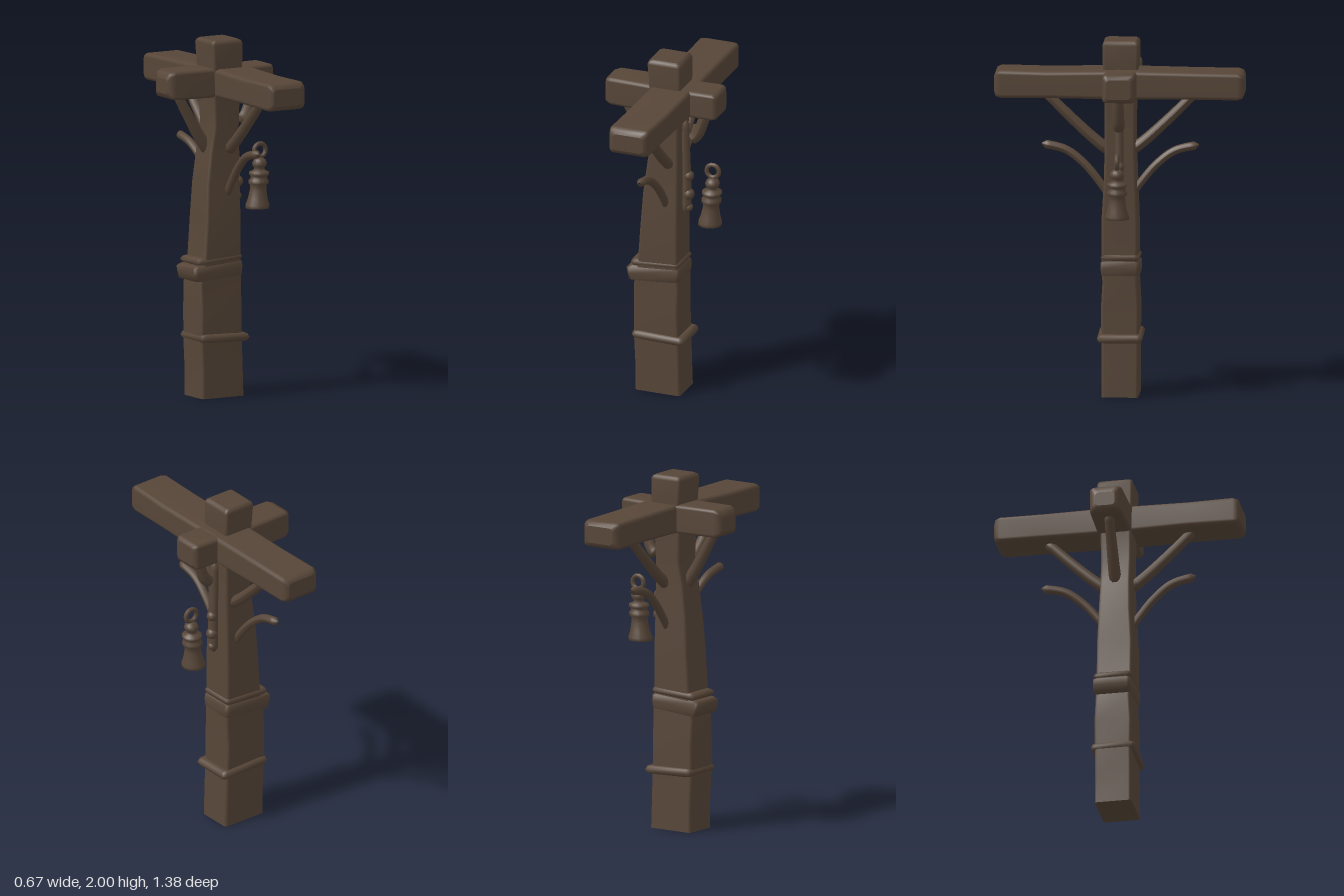
import * as THREE from 'three';

const wood = new THREE.MeshStandardMaterial({ color: 0x574638 });
wood.name = 'dark weathered wood';

// Rounded-rectangle loft along an axis (0 x, 1 y, 2 z).
// Section: [along, u0, u1, v0, v1], with u and v the next two axes in cyclic order.
function loft(axis, sections, radius = 0.025, slope = 0) {
  const pos = [], index = [], steps = 3, ringSize = 4 * (steps + 1);
  const put = (a, u, v) => {
    const p = [0, 0, 0];
    p[axis] = a;
    p[(axis + 1) % 3] = u;
    p[(axis + 2) % 3] = v;
    p[1] += slope * p[0];
    pos.push(...p);
  };
  const ring = ([a, u0, u1, v0, v1]) => {
    for (let c = 0; c < 4; c++) {
      const cu = c === 0 || c === 3 ? u1 - radius : u0 + radius;
      const cv = c < 2 ? v1 - radius : v0 + radius;
      for (let s = 0; s <= steps; s++) {
        const t = (c + s / steps) * Math.PI / 2;
        put(a, cu + radius * Math.cos(t), cv + radius * Math.sin(t));
      }
    }
  };
  sections.forEach(ring);
  for (let i = 0; i < sections.length - 1; i++) {
    for (let j = 0; j < ringSize; j++) {
      const a = i * ringSize + j, b = i * ringSize + (j + 1) % ringSize;
      index.push(a, b, b + ringSize, a, b + ringSize, a + ringSize);
    }
  }
  // end caps with their own vertices
  [sections[0], sections[sections.length - 1]].forEach((s, end) => {
    const start = pos.length / 3;
    ring(s);
    put(s[0], (s[1] + s[2]) / 2, (s[3] + s[4]) / 2);
    for (let j = 0; j < ringSize; j++) {
      const a = start + j, b = start + (j + 1) % ringSize;
      index.push(start + ringSize, end ? a : b, end ? b : a);
    }
  });
  const g = new THREE.BufferGeometry();
  g.setAttribute('position', new THREE.Float32BufferAttribute(pos, 3));
  g.setIndex(index);
  g.computeVertexNormals();
  return g;
}

// Tapered, round-ended branch through points
function limb(points, r0, r1, n = 16) {
  const curve = new THREE.CatmullRomCurve3(points.map(p => new THREE.Vector3(...p)));
  const sides = 10, g = new THREE.TubeGeometry(curve, n, 1, sides);
  const p = g.attributes.position, v = new THREE.Vector3();
  for (let i = 0; i <= n; i++) {
    const c = curve.getPointAt(i / n);
    const r = i === 0 || i === n ? 0.004 : r0 + (r1 - r0) * i / n;
    for (let j = 0; j <= sides; j++) {
      const k = i * (sides + 1) + j;
      v.fromBufferAttribute(p, k).sub(c).multiplyScalar(r).add(c);
      p.setXYZ(k, v.x, v.y, v.z);
    }
  }
  g.computeVertexNormals();
  return g;
}

export function createModel() {
  const model = new THREE.Group();
  model.name = 'signpost';
  const add = (name, geometry, parent = model) => {
    const m = new THREE.Mesh(geometry, wood);
    m.name = name;
    parent.add(m);
    return m;
  };

  // Leaning, tapering post
  add('post', loft(1, [
    [0.005, -0.105, 0.1, -0.14, 0.13],
    [0.16, -0.105, 0.1, -0.14, 0.125],
    [0.32, -0.105, 0.1, -0.148, 0.12],
    [0.5, -0.108, 0.103, -0.147, 0.115],
    [0.64, -0.1, 0.095, -0.15, 0.118],
    [0.78, -0.1, 0.1, -0.125, 0.112],
    [1.0, -0.1, 0.1, -0.11, 0.112],
    [1.2, -0.093, 0.088, -0.098, 0.11],
    [1.38, -0.088, 0.083, -0.075, 0.11],
    [1.52, -0.088, 0.083, -0.05, 0.11],
    [1.7, -0.092, 0.085, -0.058, 0.115],
    [1.86, -0.105, 0.092, -0.062, 0.127],
    [1.975, -0.108, 0.095, -0.07, 0.127],
    [1.992, -0.102, 0.089, -0.064, 0.12],
    [2.0, -0.09, 0.075, -0.05, 0.105],
  ], 0.016));

  // Crossing beams
  add('longBeam', loft(2, [
    [-0.692, -0.03, 0.145, 1.71, 1.805],
    [-0.682, -0.05, 0.166, 1.69, 1.825],
    [-0.655, -0.06, 0.174, 1.682, 1.833],
    [-0.4, -0.053, 0.177, 1.684, 1.836],
    [0, -0.05, 0.185, 1.682, 1.843],
    [0.4, -0.06, 0.178, 1.686, 1.834],
    [0.655, -0.062, 0.172, 1.682, 1.838],
    [0.682, -0.055, 0.166, 1.69, 1.828],
    [0.692, -0.035, 0.145, 1.71, 1.805],
  ], 0.022));
  add('shortBeam', loft(0, [
    [-0.336, 1.72, 1.8, -0.065, 0.045],
    [-0.325, 1.695, 1.835, -0.09, 0.068],
    [-0.295, 1.685, 1.845, -0.102, 0.08],
    [-0.06, 1.682, 1.845, -0.108, 0.085],
    [0.15, 1.685, 1.84, -0.1, 0.083],
    [0.31, 1.687, 1.843, -0.098, 0.083],
    [0.328, 1.693, 1.837, -0.092, 0.075],
    [0.336, 1.71, 1.82, -0.075, 0.06],
  ], 0.02));

  // Bands around the post
  const band = (name, y, h, z0, z1, x0, x1, slope) => add(name, loft(1,
    [[-1, 0.022], [-0.75, 0.008], [0, 0], [0.75, 0.008], [1, 0.022]].map(([t, d]) =>
      [y + t * h, z0 + d, z1 - d, x0 + d, x1 - d]), 0.022, slope));
  band('lowerBand', 0.338, 0.024, -0.128, 0.124, -0.155, 0.158, -0.03);
  band('upperBand', 0.778, 0.02, -0.11, 0.105, -0.168, 0.122, 0.06);
  add('collar', loft(1, [
    [0.67, -0.095, 0.09, -0.145, 0.11],
    [0.678, -0.106, 0.102, -0.178, 0.12],
    [0.715, -0.109, 0.105, -0.186, 0.122],
    [0.748, -0.109, 0.105, -0.192, 0.12],
    [0.76, -0.095, 0.09, -0.175, 0.108],
  ], 0.02, 0.08));

  // Braces and curved twigs, front and back
  for (const s of [1, -1]) {
    const side = s > 0 ? 'front' : 'back';
    add(side + 'Brace', limb([[0.05, 1.37, s * 0.05], [0.05, 1.44, s * 0.14],
      [0.052, 1.56, s * 0.27], [0.055, 1.71, s * 0.42]], 0.033, 0.027));
    add(side + 'Twig', limb([[0.035, 1.12, s * 0.06], [0.035, 1.2, s * 0.115], [0.03, 1.3, s * 0.2],
      [0.022, 1.375, s * 0.3], [0.022, 1.41, s * 0.435]], 0.022, 0.024, 20));
  }

  // Side braces
  add('rightBrace', limb([[-0.03, 1.36, -0.005], [-0.1, 1.46, -0.005],
    [-0.17, 1.58, -0.005], [-0.25, 1.72, -0.005]], 0.036, 0.026));
  add('leftBrace', limb([[0.155, 1.52, 0], [0.19, 1.55, 0], [0.225, 1.63, 0], [0.25, 1.72, 0]], 0.034, 0.03));

  // Upright bracket with knots
  add('bracket', limb([[0.13, 1.07, 0], [0.132, 1.25, 0], [0.126, 1.45, 0], [0.122, 1.64, 0]], 0.026, 0.022, 20));
  for (const [y, r] of [[1.3, 0.03], [1.19, 0.033], [1.11, 0.024]]) {
    add('bracketKnot', new THREE.SphereGeometry(r, 12, 8)).position.set(0.143, y, 0);
  }

  // Hanging bell with stepped rims, hollow underneath
  const bell = new THREE.Group();
  bell.name = 'bell';
  bell.position.set(0.27, 1.03, 0.003);
  model.add(bell);
  const profile = [[0, 0.05], [0.04, 0.04], [0.057, 0.002], [0.066, 0], [0.066, 0.018], [0.054, 0.055],
    [0.046, 0.1], [0.045, 0.128], [0.056, 0.138], [0.056, 0.155], [0.046, 0.165], [0.047, 0.18],
    [0.056, 0.187], [0.055, 0.202], [0.034, 0.21], [0.027, 0.222], [0.038, 0.235], [0.041, 0.25],
    [0.034, 0.268], [0.018, 0.28], [0, 0.285]];
  const body = new THREE.LatheGeometry(profile.map(p => new THREE.Vector2(...p)), 18);
  body.applyMatrix4(new THREE.Matrix4().set(1, 0.06, 0, 0, 0, 1, 0, 0, 0, 0, 1, 0, 0, 0, 0, 1));
  add('bellBody', body, bell);
  add('bellRing', new THREE.TorusGeometry(0.037, 0.013, 8, 14), bell).position.set(0.017, 0.322, 0);

  return model;
}
